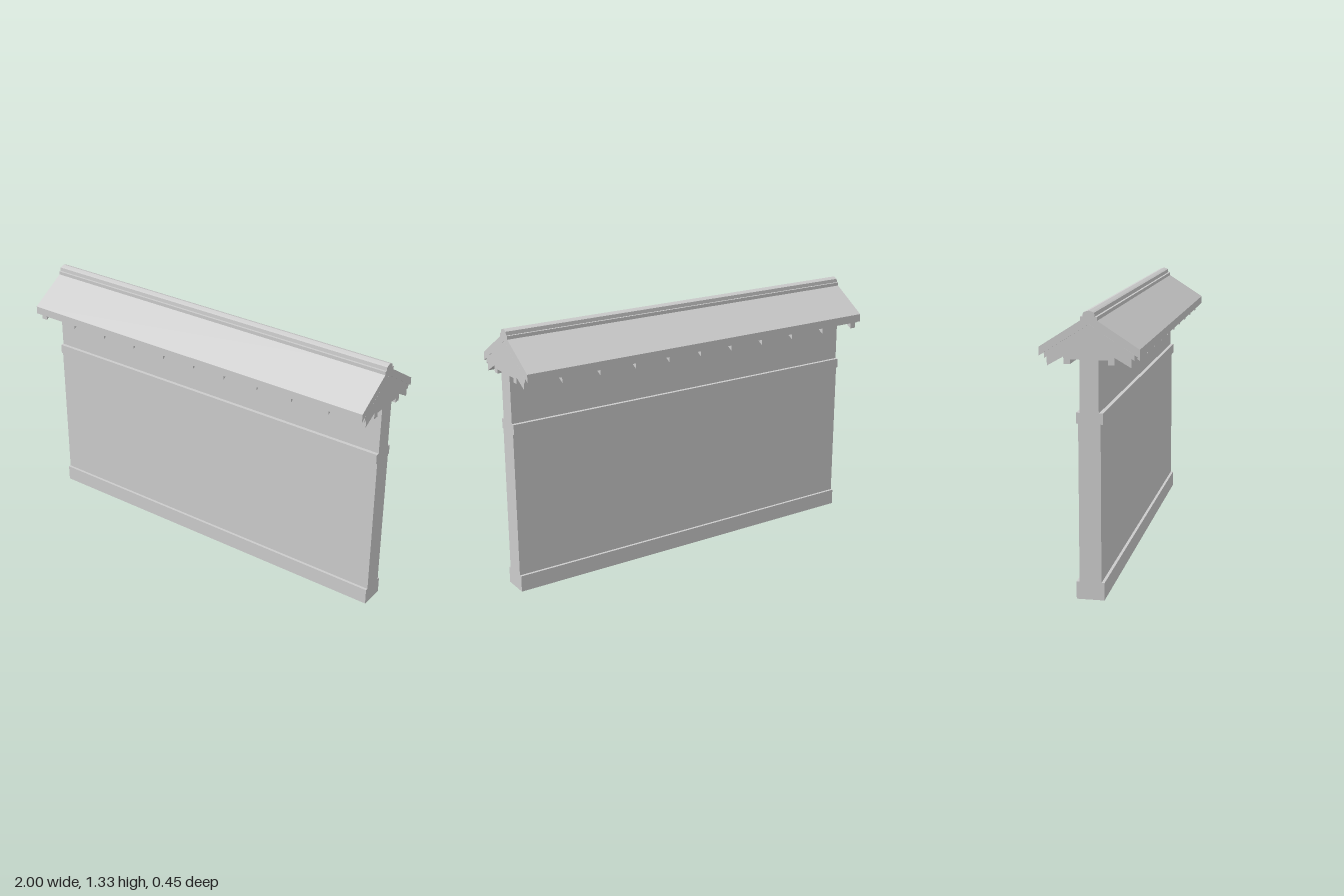
import * as THREE from 'three';

const LENGTH = 2;
const PITCH = 0.64;

export function createModel() {
  const model = new THREE.Group();
  const material = new THREE.MeshStandardMaterial({ color: 0xcccccc, flatShading: true });

  // Extrude a closed [z, y] outline along x, centred at the given x
  function extrude(name, outline, width = LENGTH, x = 0, parent = model) {
    const shape = new THREE.Shape(outline.map(([z, y]) => new THREE.Vector2(-z, y)));
    const geometry = new THREE.ExtrudeGeometry(shape, { depth: width, bevelEnabled: false });
    geometry.translate(0, 0, -width / 2).rotateY(Math.PI / 2).translate(x, 0, 0);
    const mesh = new THREE.Mesh(geometry, material);
    mesh.name = name;
    parent.add(mesh);
  }

  // Complete a right-hand outline with its mirror image across z = 0
  const mirror = (half) => [...half, ...half.filter(([z]) => z > 0).reverse().map(([z, y]) => [-z, y])];

  // Full-length course of masonry
  function course(name, halfDepth, bottom, top) {
    extrude(name, mirror([[halfDepth, bottom], [halfDepth, top]]));
  }

  // Gabled sheet: outer edge at z, running from bottom to top at the eave
  const sheet = (z, bottom, top) => mirror([
    [0, bottom + PITCH * z], [z, bottom], [z, top], [0, top + PITCH * z],
  ].slice(0, 4)).filter((p, i, all) => all.findIndex(q => q[0] === p[0] && q[1] === p[1]) === i);

  // Order a gabled sheet as one loop: up the right side, over the ridge, back underneath
  function gable(name, z, bottom, top) {
    const [inner, low, high, apex] = sheet(z, bottom, top);
    extrude(name, [inner, low, high, apex, [-z, top], [-z, bottom]]);
  }

  // Wall
  course('plinth', 0.065, 0, 0.083);
  course('wallPanel', 0.051, 0.083, 0.82);
  course('stringCourse', 0.061, 0.82, 0.87);
  course('upperWall', 0.043, 0.87, 1.108);

  // Roof core and stacked sheets
  extrude('roofCore', mirror([[0, 1.108], [0.085, 1.108], [0.085, 1.187], [0, 1.24]])
    .sort((a, b) => Math.atan2(a[1] - 1.16, a[0]) - Math.atan2(b[1] - 1.16, b[0])));
  gable('roofUnderlay', 0.203, 1.11, 1.135);
  gable('roofSlab', 0.227, 1.12, 1.16);

  // Ridge cap
  extrude('ridgeCap', mirror([
    [0.038, 1.275], [0.038, 1.298], [0.027, 1.298], [0.025, 1.316], [0.016, 1.32], [0, 1.325],
  ]));

  // Purlins and rafters under both eaves
  for (const side of [1, -1]) {
    const eave = new THREE.Group();
    eave.name = side > 0 ? 'frontEave' : 'backEave';
    model.add(eave);
    const flip = (outline) => outline.map(([z, y]) => [side * z, y]);
    extrude('purlin', flip([[0.085, 1.087], [0.115, 1.087], [0.115, 1.17], [0.085, 1.188]]), LENGTH, 0, eave);
    for (const x of [-0.984, -0.786, -0.58, -0.382, -0.188, 0, 0.188, 0.382, 0.58, 0.786, 0.984]) {
      extrude('rafter', flip([[0.115, 1.12], [0.19, 1.077], [0.19, 1.122], [0.115, 1.17]]), 0.032, x, eave);
    }
  }
  return model;
}
